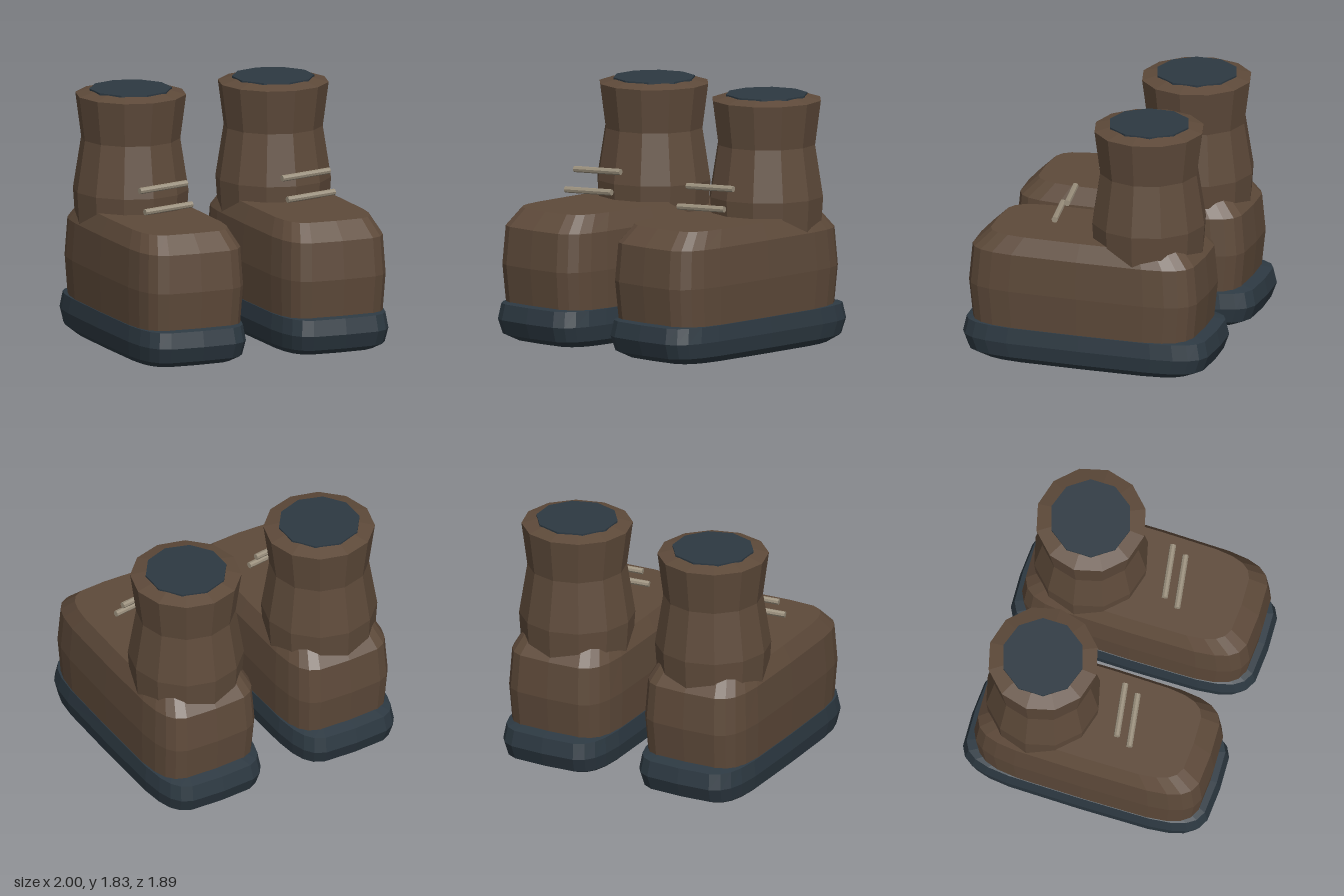
import * as THREE from 'three';

const material = (name, color) => {
  const m = new THREE.MeshStandardMaterial({ color, flatShading: true });
  m.name = name;
  return m;
};

// Closed solid lofted through rounded-rectangle rings: [y, halfWidth, halfLength, zCentre]
function loft(rings, sides = 24) {
  const pos = [], idx = [];
  const round = v => Math.sign(v) * Math.pow(Math.abs(v), 0.4);
  for (const [y, w, l, zc] of rings) {
    for (let i = 0; i < sides; i++) {
      const a = (i / sides) * Math.PI * 2;
      pos.push(w * round(Math.sin(a)), y, zc + l * round(Math.cos(a)));
    }
  }
  const last = (rings.length - 1) * sides;
  const bottom = rings.length * sides, top = bottom + 1;
  pos.push(0, rings[0][0], rings[0][3]);
  pos.push(0, rings.at(-1)[0], rings.at(-1)[3]);
  for (let i = 0; i < sides; i++) {
    const j = (i + 1) % sides;
    for (let r = 0; r < last; r += sides) {
      idx.push(r + i, r + j, r + sides + j, r + i, r + sides + j, r + sides + i);
    }
    idx.push(bottom, j, i, top, last + i, last + j);
  }
  const g = new THREE.BufferGeometry();
  g.setAttribute('position', new THREE.Float32BufferAttribute(pos, 3));
  g.setIndex(idx);
  g.computeVertexNormals();
  return g;
}

export function createModel() {
  const leather = material('brown leather', 0x5e4a3a);
  const rubber = material('dark slate rubber', 0x2d3942);
  const cord = material('pale cord', 0x9a8f7c);

  const soleGeo = loft([
    [0, 0.365, 0.8, 0],
    [0.05, 0.42, 0.905, 0],
    [0.16, 0.437, 0.945, 0],
    [0.275, 0.42, 0.92, 0],
    [0.305, 0.34, 0.79, 0],
  ]);
  const footGeo = loft([
    [0.22, 0.413, 0.845, 0.02],
    [0.56, 0.43, 0.88, 0.02],
    [0.84, 0.415, 0.855, 0.02],
    [0.965, 0.355, 0.735, 0.01],
  ]);
  const shaftGeo = new THREE.LatheGeometry(
    [[0, 0.68], [0.395, 0.68], [0.422, 1.08], [0.362, 1.46], [0.405, 1.785], [0.29, 1.815], [0, 1.815]]
      .map(([r, y]) => new THREE.Vector2(r, y)), 12);
  const openingGeo = new THREE.CylinderGeometry(0.3, 0.3, 0.04, 10);

  // Laces are slightly skewed rods across the instep
  const laceDir = new THREE.Vector3(0.4, 0.014, -0.065);
  const laceGeo = new THREE.CylinderGeometry(0.023, 0.023, laceDir.length(), 8);

  const model = new THREE.Group();
  model.name = 'bootPair';
  for (const side of [-1, 1]) {
    const boot = new THREE.Group();
    boot.name = side > 0 ? 'leftBoot' : 'rightBoot';
    boot.position.x = side * 0.563;
    const add = (name, geo, mat, y = 0, z = 0) => {
      const mesh = new THREE.Mesh(geo, mat);
      mesh.name = name;
      mesh.position.set(0, y, z);
      boot.add(mesh);
      return mesh;
    };
    add('sole', soleGeo, rubber);
    add('foot', footGeo, leather);
    add('shaft', shaftGeo, leather, 0, -0.403);
    add('opening', openingGeo, rubber, 1.805, -0.405);
    [[1.063, 0.285], [1.202, 0.19]].forEach(([y, z], i) => {
      const lace = add('lace' + (i + 1), laceGeo, cord, y, z);
      lace.quaternion.setFromUnitVectors(new THREE.Vector3(0, 1, 0), laceDir.clone().normalize());
    });
    model.add(boot);
  }
  return model;
}
